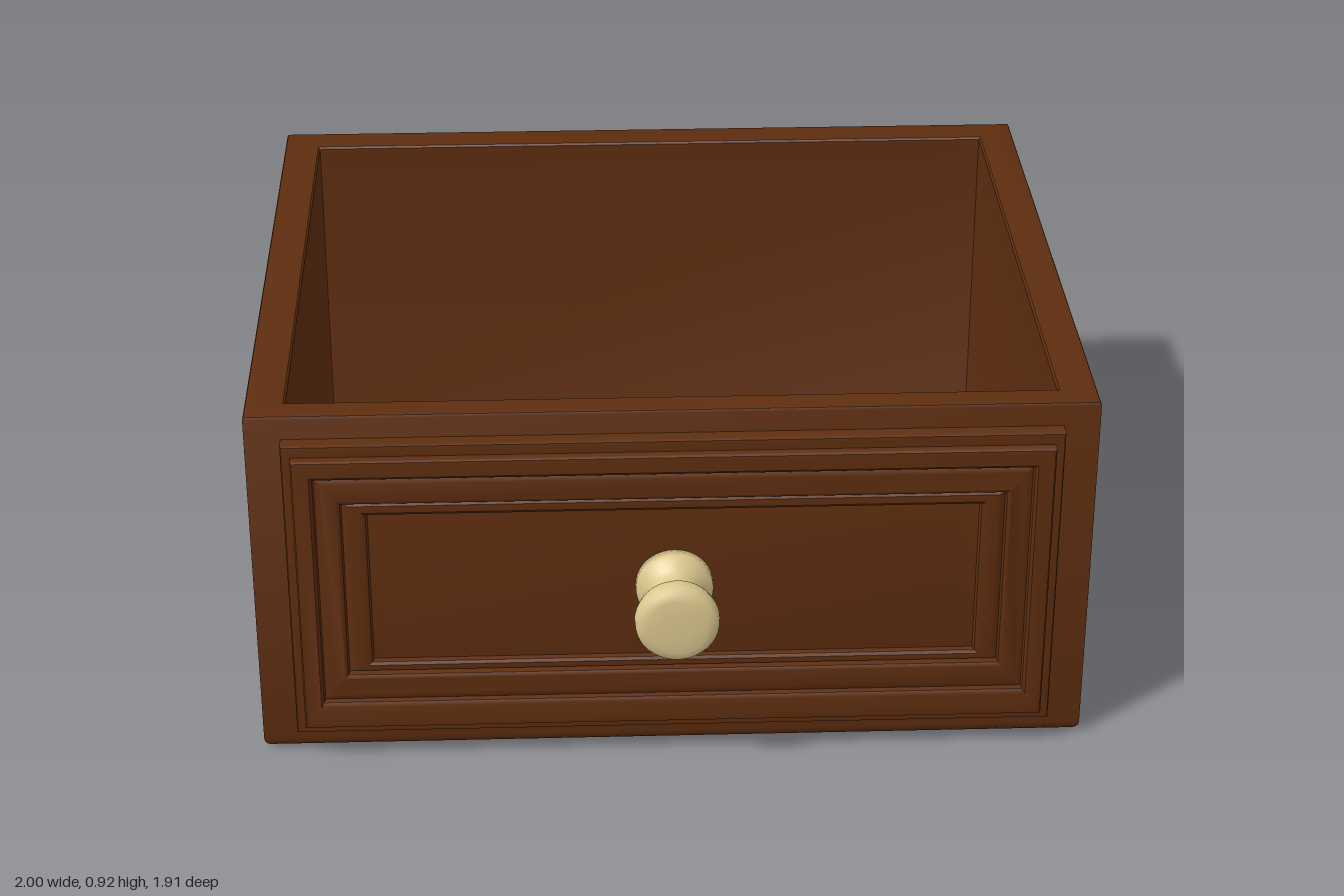
import * as THREE from 'three';
import { toCreasedNormals } from 'three/addons/utils/BufferGeometryUtils.js';

// Lofts rectangles [halfWidth, y0, y1, z] in order and caps both ends
function loftRects(rings) {
  const corners = rings.map(([hx, y0, y1, z]) => [
    [-hx, y0, z], [hx, y0, z], [hx, y1, z], [-hx, y1, z],
  ]);
  const pos = [];
  const quad = (a, b, c, d) => pos.push(...a, ...b, ...c, ...a, ...c, ...d);
  for (let r = 0; r < corners.length - 1; r++) {
    const p = corners[r], q = corners[r + 1];
    for (let i = 0; i < 4; i++) {
      const j = (i + 1) % 4;
      quad(p[i], p[j], q[j], q[i]);
    }
  }
  const s = corners[0], e = corners[corners.length - 1];
  quad(s[3], s[2], s[1], s[0]);
  quad(e[0], e[1], e[2], e[3]);
  const geo = new THREE.BufferGeometry();
  geo.setAttribute('position', new THREE.Float32BufferAttribute(pos, 3));
  return toCreasedNormals(geo, 0.6);
}

export function createModel() {
  const wood = new THREE.MeshStandardMaterial({ color: 0x5e2d0f });
  wood.name = 'brown wood';
  const ivory = new THREE.MeshStandardMaterial({ color: 0xdcc88f });
  ivory.name = 'pale knob';

  const group = new THREE.Group();
  group.name = 'drawer';
  const add = (name, geo, mat) => {
    const mesh = new THREE.Mesh(geo, mat);
    mesh.name = name;
    group.add(mesh);
    return mesh;
  };

  // Open box: rounded bottom edge, up the outside, over the rim, down to the floor
  const outer = (inset, y) => [1 - inset, -0.71 + inset, 0.955 - inset, y];
  const inner = (inset, y) => [0.905 - inset, -0.64 + inset, 0.855 - inset, y];
  const rings = [];
  const R = 0.032;
  for (let i = 0; i <= 5; i++) {
    const a = (i / 5) * Math.PI / 2;
    rings.push(outer(R * (1 - Math.sin(a)), R * (1 - Math.cos(a))));
  }
  rings.push(
    outer(0, 0.912), outer(0.003, 0.918), outer(0.008, 0.92),
    inner(-0.005, 0.92), inner(0, 0.915),
    inner(0, 0.125), inner(0.008, 0.108), inner(0.025, 0.1),
  );
  const box = loftRects(rings);
  box.rotateX(-Math.PI / 2);
  add('box', box, wood);

  // Stepped and moulded front with a sunken frame around the centre field
  add('frontPanel', loftRects([
    [0.915, 0.07, 0.86, 0.7],
    [0.915, 0.07, 0.86, 0.742],
    [0.912, 0.073, 0.857, 0.748],
    [0.905, 0.08, 0.85, 0.75],
    [0.892, 0.098, 0.832, 0.75],
    [0.892, 0.098, 0.832, 0.768],
    [0.888, 0.102, 0.828, 0.774],
    [0.88, 0.11, 0.82, 0.776],
    [0.85, 0.16, 0.79, 0.776],
    [0.843, 0.17, 0.783, 0.77],
    [0.84, 0.173, 0.78, 0.758],
    [0.825, 0.188, 0.767, 0.765],
    [0.79, 0.235, 0.722, 0.768],
    [0.782, 0.243, 0.714, 0.763],
    [0.779, 0.246, 0.711, 0.748],
    [0.765, 0.252, 0.704, 0.758],
    [0.735, 0.267, 0.687, 0.76],
    [0.724, 0.274, 0.68, 0.755],
    [0.72, 0.277, 0.677, 0.743],
    [0.67, 0.315, 0.64, 0.75],
  ]), wood);

  // Turned knob
  const profile = [
    [0, 0.74], [0.092, 0.74], [0.092, 0.775], [0.085, 0.785], [0.066, 0.797],
    [0.057, 0.815], [0.055, 0.845], [0.058, 0.866], [0.068, 0.878],
    [0.086, 0.886], [0.096, 0.898], [0.1, 0.915], [0.098, 0.934],
    [0.09, 0.947], [0.07, 0.953], [0.035, 0.955], [0, 0.955],
  ].map(([r, y]) => new THREE.Vector2(r, y));
  const knob = new THREE.LatheGeometry(profile, 40);
  knob.rotateX(Math.PI / 2);
  add('knob', knob, ivory).position.y = 0.475;

  return group;
}
